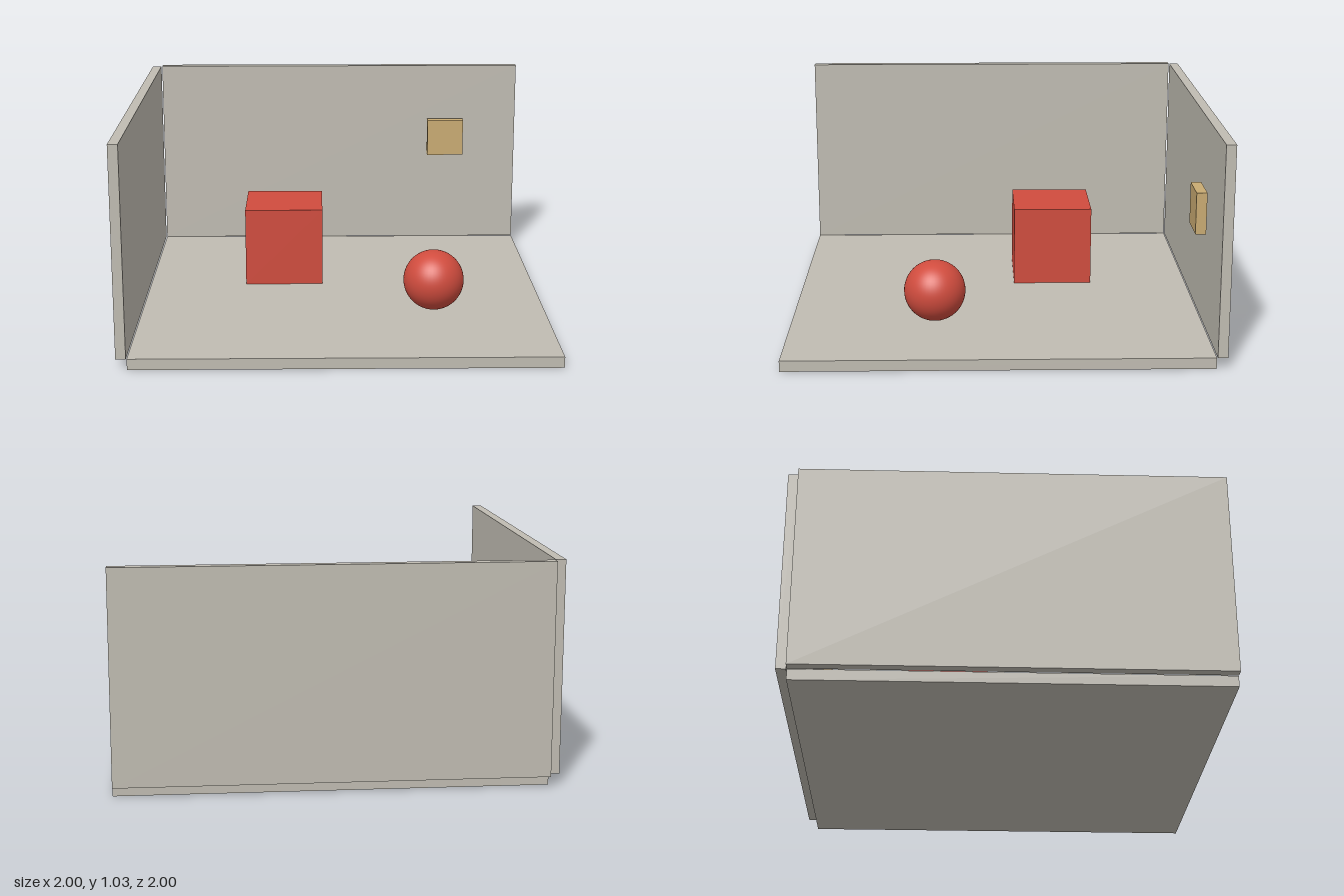
import * as THREE from 'three';

export function createModel() {
  const group = new THREE.Group();
  const mat = (name, color) => {
    const m = new THREE.MeshStandardMaterial({ color });
    m.name = name;
    return m;
  };
  const stone = mat('warm grey', 0xc0bcb2);
  const red = mat('red', 0xd04c3e);
  const tan = mat('tan', 0xc9ab72);

  const add = (name, geometry, material, x, y, z) => {
    const mesh = new THREE.Mesh(geometry, material);
    mesh.name = name;
    mesh.position.set(x, y, z);
    group.add(mesh);
  };
  // Box given by its minimum and maximum corners
  const box = (name, material, [x0, y0, z0], [x1, y1, z1]) =>
    add(name, new THREE.BoxGeometry(x1 - x0, y1 - y0, z1 - z0), material,
      (x0 + x1) / 2, (y0 + y1) / 2, (z0 + z1) / 2);

  const floorTop = 0.051, wallTop = 1.027, inner = -0.954, floorEdge = -0.95;

  // Room: floor slab with two walls standing just outside its edges
  box('floor', stone, [floorEdge, 0, floorEdge], [1, floorTop, 1]);
  box('sideWall', stone, [-1, floorTop, floorEdge], [inner, wallTop, 1]);
  box('backWall', stone, [floorEdge, floorTop, -1], [1, wallTop, inner]);

  // Objects in the room
  box('cube', red, [-0.465, floorTop, -0.465], [-0.075, 0.441, -0.075]);
  add('ball', new THREE.SphereGeometry(0.146, 48, 32), red, 0.462, floorTop + 0.146, 0.318);

  // Square panel floating in front of the back wall
  box('wallPanel', tan, [0.512, 0.539, -0.927], [0.707, 0.734, -0.878]);

  return group;
}
